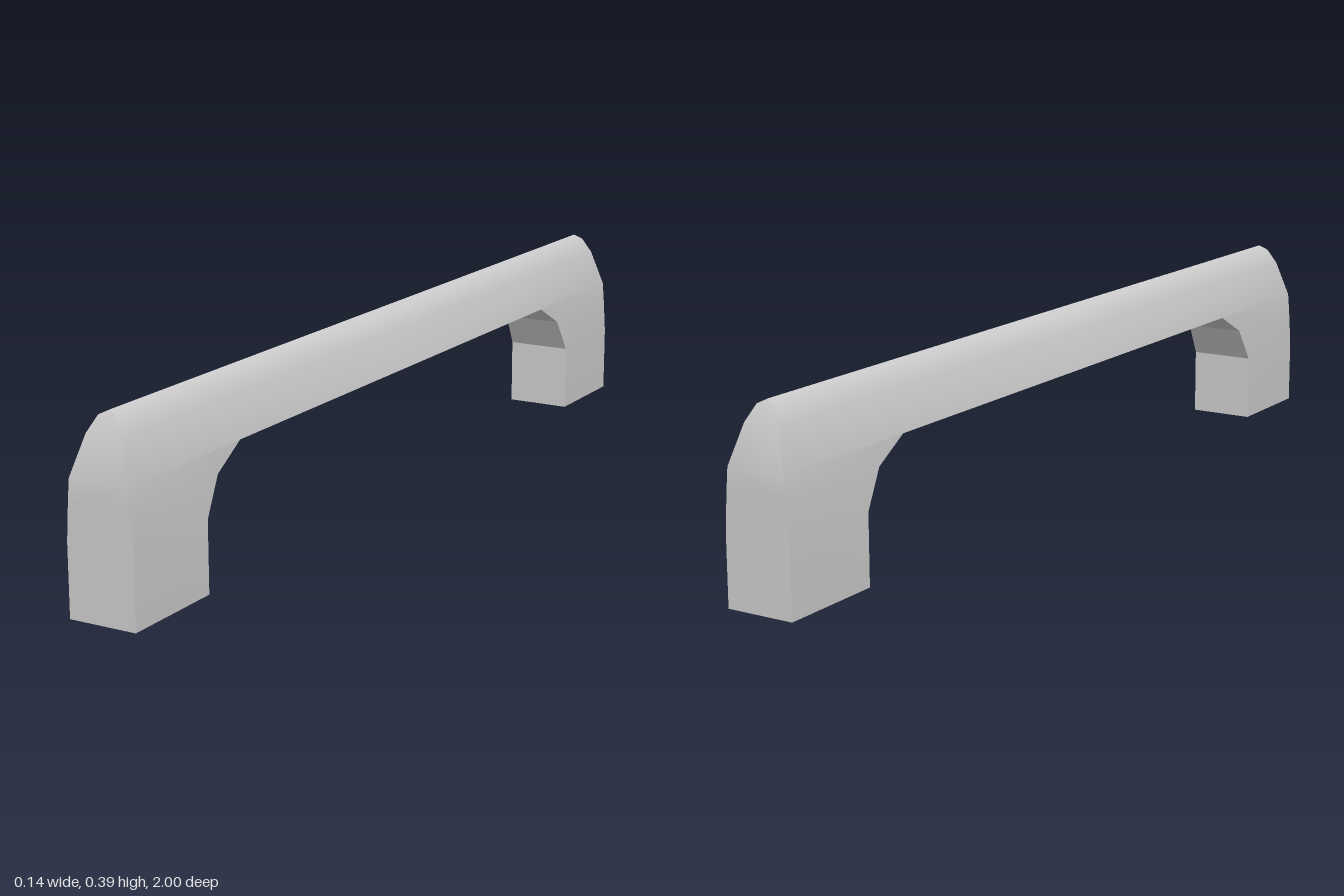
import * as THREE from 'three';
import { toCreasedNormals } from 'three/addons/utils/BufferGeometryUtils.js';

// Horizontal levels: height, half width, outer end z, inner face z of the foot
const LEVELS = [
  { y: 0, w: 0.072, out: 1, inn: 0.77 },
  { y: 0.145, w: 0.072, out: 1, inn: 0.77 },
  { y: 0.22, w: 0.067, out: 1, inn: 0.727 },
  { y: 0.265, w: 0.063, out: 1, inn: 0.645 },
  { y: 0.345, w: 0.038, out: 0.98, inn: 0 },
  { y: 0.378, w: 0.02, out: 0.966, inn: 0 },
  { y: 0.388, w: 0, out: 0.96, inn: 0 },
];
const ARCH_TOP = 3; // level at which the feet join the grip
const HOLE = { r: 0.019, z: 0.885, depth: 0.15, sides: 8 };

// Collects quads as triangles, skipping collapsed ones
function surface() {
  const pos = [];
  const same = (p, q) => p.every((v, i) => Math.abs(v - q[i]) < 1e-6);
  const tri = (a, b, c) => {
    if (!same(a, b) && !same(b, c) && !same(a, c)) pos.push(...a, ...b, ...c);
  };
  return {
    quad(a, b, c, d, flip = false) {
      if (flip) [b, d] = [d, b];
      tri(a, b, c);
      tri(a, c, d);
    },
    build(crease) {
      const g = new THREE.BufferGeometry();
      g.setAttribute('position', new THREE.Float32BufferAttribute(pos, 3));
      return toCreasedNormals(g, crease);
    },
  };
}

export function createModel() {
  const group = new THREE.Group();
  const mat = new THREE.MeshStandardMaterial({ color: 0xcccccc });
  const add = (name, geometry, material = mat) => {
    const mesh = new THREE.Mesh(geometry, material);
    mesh.name = name;
    group.add(mesh);
    return mesh;
  };

  const sides = surface(), ends = surface(), arch = surface();
  for (let i = 0; i < LEVELS.length - 1; i++) {
    const a = LEVELS[i], b = LEVELS[i + 1];
    const inA = i < ARCH_TOP ? a.inn : 0;
    const inB = i < ARCH_TOP ? b.inn : 0;
    for (const s of [1, -1]) {
      // Curved flanks, mirrored left and right
      for (const m of [1, -1]) {
        sides.quad([m * a.w, a.y, s * inA], [m * b.w, b.y, s * inB],
          [m * b.w, b.y, s * b.out], [m * a.w, a.y, s * a.out], s * m < 0);
      }
      // Rounded end faces
      ends.quad([-a.w, a.y, s * a.out], [a.w, a.y, s * a.out],
        [b.w, b.y, s * b.out], [-b.w, b.y, s * b.out], s < 0);
      // Faceted inside of the foot
      if (i < ARCH_TOP) {
        arch.quad([-a.w, a.y, s * a.inn], [a.w, a.y, s * a.inn],
          [b.w, b.y, s * b.inn], [-b.w, b.y, s * b.inn], s > 0);
      }
    }
  }
  // Flat underside of the grip
  const t = LEVELS[ARCH_TOP];
  arch.quad([-t.w, t.y, -t.inn], [t.w, t.y, -t.inn], [t.w, t.y, t.inn], [-t.w, t.y, t.inn]);

  add('gripSides', sides.build(0.7));
  add('endFaces', ends.build(0.7));
  add('innerArch', arch.build(0.1));

  // Foot soles with screw holes
  const foot = LEVELS[0];
  const inside = new THREE.MeshStandardMaterial({ color: 0xcccccc, side: THREE.BackSide });
  for (const s of [1, -1]) {
    const tag = s > 0 ? 'front' : 'back';
    const z0 = Math.min(s * foot.inn, s * foot.out);
    const z1 = Math.max(s * foot.inn, s * foot.out);
    const shape = new THREE.Shape([
      new THREE.Vector2(-foot.w, z0), new THREE.Vector2(foot.w, z0),
      new THREE.Vector2(foot.w, z1), new THREE.Vector2(-foot.w, z1),
    ]);
    const rim = [];
    for (let k = 0; k < HOLE.sides; k++) {
      const angle = (k / HOLE.sides) * Math.PI * 2;
      rim.push(new THREE.Vector2(HOLE.r * Math.cos(angle), s * HOLE.z + HOLE.r * Math.sin(angle)));
    }
    shape.holes.push(new THREE.Path(rim));
    add(tag + 'Sole', new THREE.ShapeGeometry(shape).rotateX(Math.PI / 2));

    const wall = new THREE.CylinderGeometry(HOLE.r, HOLE.r, HOLE.depth, HOLE.sides, 1, true);
    add(tag + 'ScrewHole', wall, inside).position.set(0, HOLE.depth / 2, s * HOLE.z);
    const cap = new THREE.CircleGeometry(HOLE.r, HOLE.sides).rotateX(Math.PI / 2);
    add(tag + 'ScrewHoleEnd', cap).position.set(0, HOLE.depth, s * HOLE.z);
  }
  return group;
}
